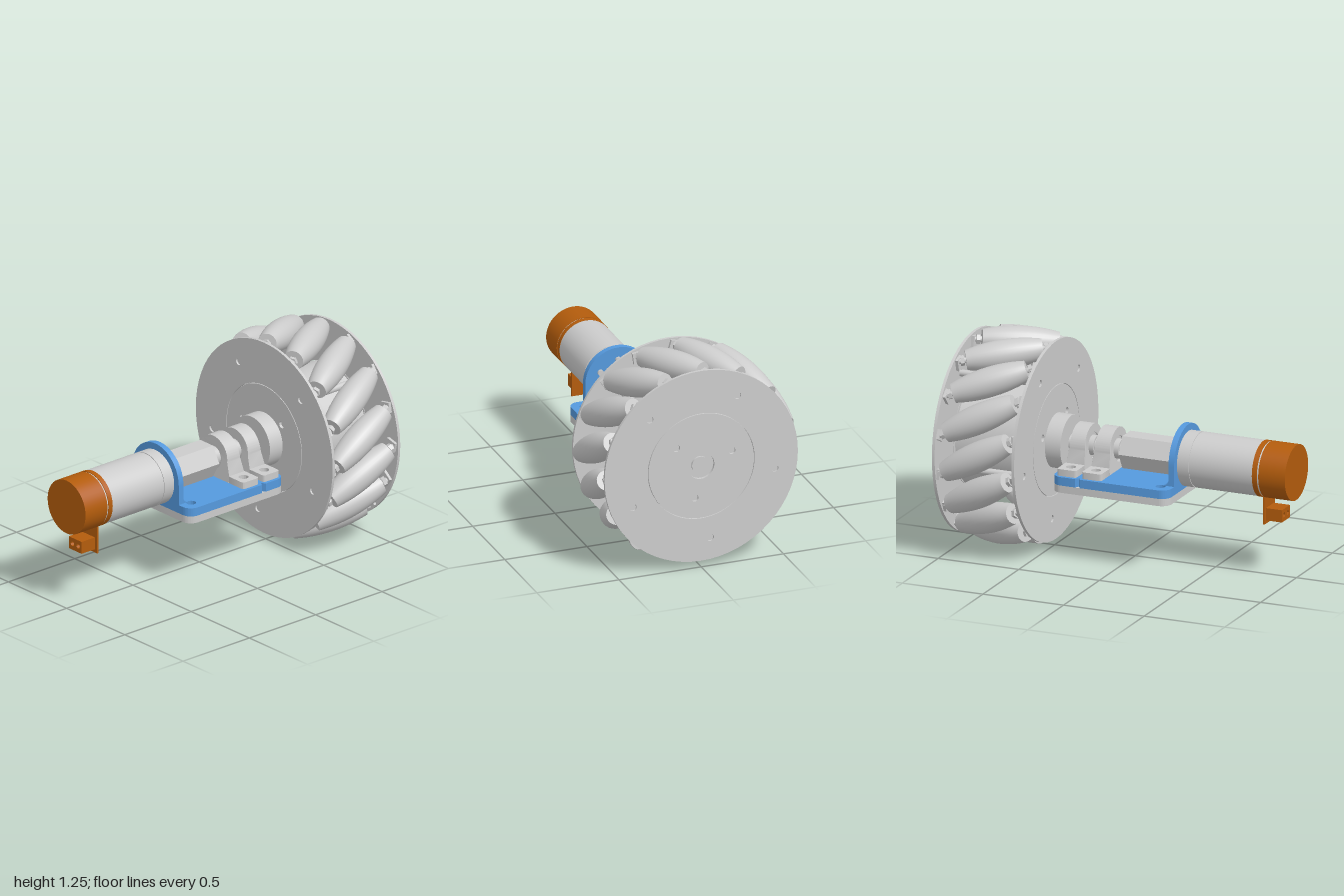
import * as THREE from 'three';
import { toCreasedNormals } from 'three/addons/utils/BufferGeometryUtils.js';

const grey = new THREE.MeshStandardMaterial({ color: 0xcccccc });
const blue = new THREE.MeshStandardMaterial({ color: 0x5599dd });
const orange = new THREE.MeshStandardMaterial({ color: 0xb35c0c });
const AXIS = 0.635; // height of the drive axis
const RAD = Math.PI / 180;

function add(parent, name, geo, mat = grey, x = 0, y = 0, z = 0) {
  const m = new THREE.Mesh(geo, mat);
  m.name = name;
  m.position.set(x, y, z);
  parent.add(m);
  return m;
}

// Cylinder lying along x between x0 and x1
function rod(parent, name, x0, x1, r, mat = grey, y = AXIS, z = 0, sides = 48) {
  const geo = new THREE.CylinderGeometry(r, r, x1 - x0, sides).rotateZ(-Math.PI / 2);
  return add(parent, name, sides < 9 ? toCreasedNormals(geo, 0.5) : geo, mat, (x0 + x1) / 2, y, z);
}

function hole(shape, x, y, r) {
  shape.holes.push(new THREE.Path().absarc(x, y, r, 0, Math.PI * 2, true));
}

function extrude(shape, depth) {
  const geo = new THREE.ExtrudeGeometry(shape, { depth, bevelEnabled: false, curveSegments: 32 });
  return toCreasedNormals(geo, 0.6);
}
// Shape drawn in (-z, y), thickened along +x
const upright = (shape, depth) => extrude(shape, depth).rotateY(Math.PI / 2);
// Shape drawn in (x, -z), thickened along +y
const slab = (shape, depth) => extrude(shape, depth).rotateX(-Math.PI / 2);

function disc(r) {
  return new THREE.Shape().absarc(0, 0, r, 0, Math.PI * 2, false);
}

// Rounded rectangle, optionally with a small notch in each long edge
function roundedRect(x0, x1, h, r, notch) {
  const s = new THREE.Shape();
  s.absarc(x0 + r, -h + r, r, Math.PI, Math.PI * 1.5, false);
  if (notch) s.lineTo(notch - 0.015, -h).lineTo(notch, -h + 0.025).lineTo(notch + 0.015, -h);
  s.absarc(x1 - r, -h + r, r, Math.PI * 1.5, Math.PI * 2, false);
  s.absarc(x1 - r, h - r, r, 0, Math.PI / 2, false);
  if (notch) s.lineTo(notch + 0.015, h).lineTo(notch, h - 0.025).lineTo(notch - 0.015, h);
  s.absarc(x0 + r, h - r, r, Math.PI / 2, Math.PI, false);
  s.closePath();
  return s;
}

function buildMotor() {
  const g = new THREE.Group();
  g.name = 'motor';
  rod(g, 'encoderCap', -1, -0.835, 0.163, orange);
  rod(g, 'motorSeam', -0.835, -0.825, 0.159);
  rod(g, 'encoderRing', -0.825, -0.795, 0.163, orange);
  rod(g, 'motorBody', -0.795, -0.408, 0.161);
  rod(g, 'gearboxSeam', -0.408, -0.402, 0.157);
  rod(g, 'gearboxFront', -0.402, -0.33, 0.161);
  rod(g, 'gearboxBoss', -0.33, -0.28, 0.065);
  // Circuit board tab and its socket
  add(g, 'encoderTab', new THREE.BoxGeometry(0.01, 0.23, 0.15), orange, -0.83, 0.44);
  const socket = new THREE.Shape([[-0.055, 0.345], [0.055, 0.345], [0.055, 0.418], [-0.055, 0.418]]
    .map(p => new THREE.Vector2(...p)));
  for (const u of [-0.025, 0.025]) hole(socket, u, 0.382, 0.014);
  add(g, 'encoderSocket', upright(socket, 0.1), orange, -0.935);
  return g;
}

function buildBracket() {
  const g = new THREE.Group();
  g.name = 'bracket';
  const boltHoles = [[-0.255, 0.22], [0.15, 0.215], [0.305, 0.215]];
  const plate = (notch) => {
    const s = roundedRect(-0.33, 0.39, 0.295, 0.06, notch);
    for (const [x, z] of boltHoles) for (const side of [-1, 1]) hole(s, x, z * side, 0.028);
    return s;
  };
  add(g, 'basePlate', slab(plate(0.228), 0.05), blue, 0, 0.47);
  add(g, 'lowerPlate', slab(plate(0), 0.043), grey, 0, 0.427);

  // Arched motor mount with bore and screw ring
  const arch = new THREE.Shape();
  arch.moveTo(-0.2, 0.5).lineTo(0.2, 0.5).lineTo(0.2, AXIS);
  arch.absarc(0, AXIS, 0.2, 0, Math.PI, false);
  hole(arch, 0, AXIS, 0.075);
  add(g, 'motorMount', upright(arch, 0.035), blue, -0.33);
  for (let i = 0; i < 6; i++) {
    const a = (i * 60 + 30) * RAD;
    rod(g, 'mountScrew', -0.3, -0.282, 0.018, grey, AXIS + 0.125 * Math.sin(a), 0.125 * Math.cos(a), 12);
  }
  // Fillet between mount and base
  const fillet = new THREE.Shape();
  fillet.moveTo(0, 0).lineTo(0.035, 0).quadraticCurveTo(0.005, 0.005, 0, 0.035);
  add(g, 'mountFillet', extrude(fillet, 0.4), blue, -0.295, 0.52, -0.2);
  return g;
}

function buildBearing(x) {
  const g = new THREE.Group();
  g.name = 'pillowBearing';
  const body = new THREE.Shape();
  body.moveTo(-0.15, 0.52).lineTo(0.15, 0.52).lineTo(0.15, 0.56).lineTo(0.125, AXIS);
  body.absarc(0, AXIS, 0.125, 0, Math.PI, false);
  body.lineTo(-0.15, 0.56);
  hole(body, 0, AXIS, 0.075);
  const geo = upright(body, 1).translate(-0.5, 0, 0);
  // The housing is wider at its foot than at its crown
  const p = geo.attributes.position;
  for (let i = 0; i < p.count; i++) {
    const t = THREE.MathUtils.clamp((0.68 - p.getY(i)) / 0.16, 0, 1);
    p.setX(i, p.getX(i) * (0.09 + 0.03 * t));
  }
  add(g, 'bearingHousing', toCreasedNormals(geo, 0.6));
  for (const side of [-1, 1]) {
    const foot = roundedRect(-0.06, 0.06, 0.065, 0.015);
    hole(foot, 0, 0, 0.028);
    add(g, 'bearingFoot', slab(foot, 0.04), grey, 0, 0.52, 0.21 * side);
  }
  rod(g, 'bearingRace', -0.038, 0.038, 0.076);
  rod(g, 'bearingCollar', -0.07, 0.065, 0.058);
  g.position.x = x;
  return g;
}

function buildWheel() {
  const g = new THREE.Group();
  g.name = 'wheel';
  g.position.set(0.745, AXIS, 0);

  // Side plates: an outer ring around a bolted centre disc
  for (const side of [-1, 1]) {
    const ring = disc(0.588);
    hole(ring, 0, 0, 0.325);
    const centre = disc(0.321);
    hole(centre, 0, 0, 0.08);
    for (let i = 0; i < 5; i++) {
      const a = (133 - 72 * i) * RAD;
      hole(ring, 0.457 * Math.cos(a), 0.457 * Math.sin(a), 0.021);
    }
    for (let i = 0; i < 3; i++) {
      const a = (139 - 120 * i) * RAD;
      hole(centre, 0.198 * Math.cos(a), 0.198 * Math.sin(a), 0.021);
    }
    const x = side > 0 ? 0.238 : -0.255;
    add(g, 'sidePlate', upright(ring, 0.017), grey, x);
    add(g, 'centreDisc', upright(centre, 0.017), grey, x);
  }
  rod(g, 'hubDrum', -0.239, 0.228, 0.323, grey, 0, 0, 64);
  rod(g, 'shaftEnd', 0.22, 0.24, 0.05, grey, 0);
  for (let i = 0; i < 5; i++) {
    const a = (47 + 72 * i) * RAD;
    rod(g, 'tieBolt', -0.245, 0.246, 0.02, grey, 0.457 * Math.sin(a), 0.457 * Math.cos(a), 16);
  }

  // Barrel roller profile with flat ends
  const half = 0.22, profile = [new THREE.Vector2(0, -half)];
  for (let i = 0; i <= 12; i++) {
    const t = i / 6 - 1;
    profile.push(new THREE.Vector2(0.086 - 0.028 * t * t, half * t));
  }
  profile.push(new THREE.Vector2(0, half));
  const barrel = toCreasedNormals(new THREE.LatheGeometry(profile, 28), 0.6).rotateZ(-Math.PI / 2);

  for (let i = 0; i < 15; i++) {
    const station = new THREE.Group();
    station.name = 'rollerStation';
    station.rotation.x = (80 - 24 * i) * RAD;
    const roller = new THREE.Group();
    roller.name = 'roller';
    roller.position.y = 0.541;
    roller.rotation.y = 29 * RAD;
    add(roller, 'rollerBarrel', barrel);
    rod(roller, 'rollerAxle', -0.262, 0.262, 0.017, grey, 0, 0, 12);
    for (const s of [-1, 1]) {
      rod(roller, 'axleNut', s * 0.241 - 0.011, s * 0.241 + 0.011, 0.03, grey, 0, 0, 6);
      // Tab tying the axle to the side plate
      add(station, 'axleTab', new THREE.BoxGeometry(0.018, 0.07, 0.06), grey, s * 0.23, 0.525, -s * 0.125);
    }
    station.add(roller);
    g.add(station);
  }
  return g;
}

export function createModel() {
  const model = new THREE.Group();
  model.name = 'wheelDrive';
  model.add(buildMotor(), buildBracket(), buildBearing(0.15), buildBearing(0.305), buildWheel());

  // Hexagonal coupler, shaft and wheel hub
  const coupler = rod(model, 'hexCoupler', -0.255, 0.055, 0.11, grey, AXIS, 0, 6);
  rod(model, 'motorShaft', -0.29, -0.25, 0.045);
  rod(model, 'driveShaft', 0.05, 0.5, 0.045);
  rod(model, 'wheelHub', 0.395, 0.495, 0.158);
  return model;
}
